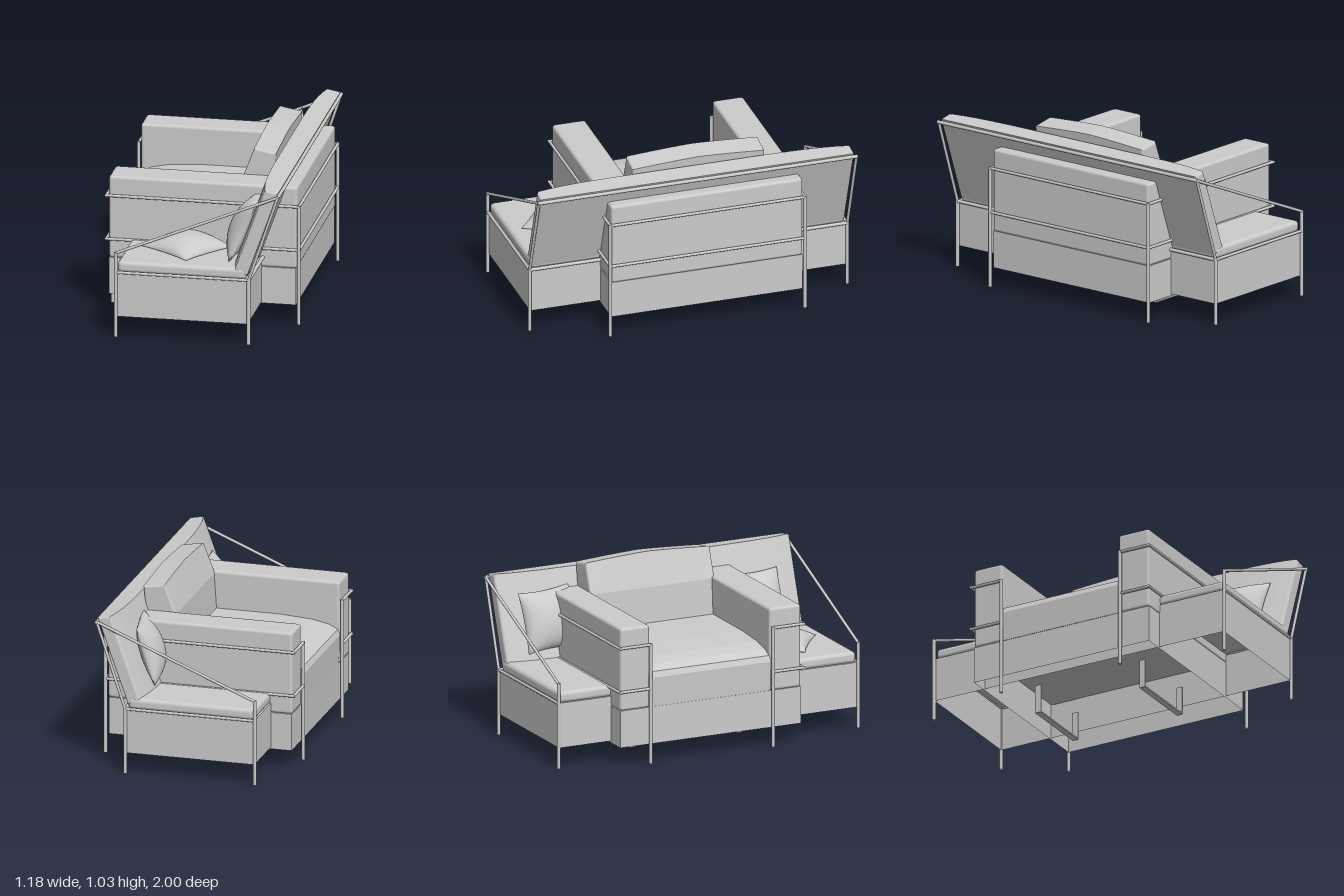
import * as THREE from 'three';
import { RoundedBoxGeometry } from 'three/addons/geometries/RoundedBoxGeometry.js';

const mat = new THREE.MeshStandardMaterial({ color: 0xcccccc });
const shellMat = new THREE.MeshStandardMaterial({ color: 0xcccccc, side: THREE.DoubleSide });
const R = 0.011;

function add(parent, name, geo, material = mat) {
  const mesh = new THREE.Mesh(geo, material);
  mesh.name = name;
  parent.add(mesh);
  return mesh;
}

// Rounded block given by its limits on each axis
function block(parent, name, [x0, x1], [y0, y1], [z0, z1], r = 0.015) {
  const m = add(parent, name, new RoundedBoxGeometry(x1 - x0, y1 - y0, z1 - z0, 2, r));
  m.position.set((x0 + x1) / 2, (y0 + y1) / 2, (z0 + z1) / 2);
  return m;
}

// Thin box without a bottom
function shell(parent, name, [x0, x1], [y0, y1], [z0, z1]) {
  const geo = new THREE.BoxGeometry(x1 - x0, y1 - y0, z1 - z0);
  const index = Array.from(geo.index.array);
  index.splice(18, 6); // the downward face
  geo.setIndex(index);
  geo.clearGroups();
  add(parent, name, geo, shellMat)
    .position.set((x0 + x1) / 2, (y0 + y1) / 2, (z0 + z1) / 2);
}

// Side profile (x, y) swept along z with soft edges
function sweep(points, z0, z1, bevel, steps = 1) {
  const s = new THREE.Shape(points.map(([x, y]) => new THREE.Vector2(x, y)));
  const geo = new THREE.ExtrudeGeometry(s, {
    depth: z1 - z0 - 2 * bevel, steps, bevelThickness: bevel, bevelSize: bevel, bevelSegments: 3,
  });
  return geo.translate(0, 0, z0 + bevel);
}

// Move the vertices of a geometry by a rule
function bend(geo, rule) {
  const p = geo.attributes.position, v = new THREE.Vector3();
  for (let i = 0; i < p.count; i++) {
    rule(v.fromBufferAttribute(p, i));
    p.setXYZ(i, v.x, v.y, v.z);
  }
  geo.computeVertexNormals();
  return geo;
}

// Round metal bar between two points
function rod(parent, name, a, b, r = R) {
  const p = new THREE.Vector3(...a), q = new THREE.Vector3(...b);
  const d = q.clone().sub(p);
  const m = add(parent, name, new THREE.CylinderGeometry(r, r, d.length(), 12));
  m.position.copy(p).add(q).multiplyScalar(0.5);
  m.quaternion.setFromUnitVectors(new THREE.Vector3(0, 1, 0), d.normalize());
  return m;
}

// Soft square pillow in the xz plane: full on top, flatter below
function pillow(parent, name, size, top, bottom) {
  const geo = bend(new THREE.SphereGeometry(1, 40, 28), (p) => {
    // stretch each round section out to a square
    const k = Math.hypot(p.x, p.z) / (Math.max(Math.abs(p.x), Math.abs(p.z)) || 1);
    const u = p.x * k, v = p.z * k, pinch = 0.07;
    const puff = Math.pow(Math.max(0, (1 - u * u) * (1 - v * v)), 0.5);
    p.set(
      u * (1 - pinch * (1 - v * v)) * size / 2,
      puff * (p.y > 0 ? top : -bottom),
      v * (1 - pinch * (1 - u * u)) * size / 2);
  });
  return add(parent, name, geo);
}

function createDaybed() {
  const g = new THREE.Group();
  g.name = 'longSofa';
  shell(g, 'sofaBase', [-0.437, 0.354], [0.125, 0.4], [-0.984, 0.984]);
  block(g, 'sofaSeatCushion', [-0.433, 0.345], [0.395, 0.465], [-0.98, 0.98], 0.025);

  // Leaning backrest, its front swelling between the ends
  const back = sweep(
    [[0.295, 0.455], [0.34, 0.435], [0.52, 0.938], [0.472, 0.948]], -0.975, 0.975, 0.012, 24);
  bend(back, (p) => {
    const front = p.x - 0.315 - (p.y - 0.44) * 0.355;
    if (front < 0) p.x -= 0.05 * Math.max(0, 1 - p.z ** 6);
  });
  add(g, 'sofaBackrest', back);

  // End frames
  const F = -0.44, B = 0.36, T = [0.535, 0.925];
  for (const z of [-0.988, 0.988]) {
    rod(g, 'sofaFrontLeg', [F, 0, z], [F, 0.525, z]);
    rod(g, 'sofaBackLeg', [B, 0, z], [B, 0.405, z]);
    rod(g, 'sofaBackPost', [B, 0.4, z], [...T, z], 0.009);
    rod(g, 'sofaSlopingArm', [F, 0.52, z], [...T, z], 0.009);
    rod(g, 'sofaEndRail', [F, 0.4, z], [B, 0.4, z], 0.009);
  }
  rod(g, 'sofaTopRail', [...T, -0.995], [...T, 0.995]);
  rod(g, 'sofaRearRail', [B, 0.4, -0.988], [B, 0.4, 0.988]);
  return g;
}

function createArmchair() {
  const g = new THREE.Group();
  g.name = 'armchair';
  shell(g, 'chairBase', [-0.565, 0.56], [0.115, 0.342], [-0.643, 0.547]);

  // Seat cushion with a rolled front edge
  add(g, 'chairSeatCushion', sweep(
    [[-0.555, 0.355], [0.4, 0.355], [0.4, 0.605], [-0.2, 0.605], [-0.4, 0.592], [-0.5, 0.572],
      [-0.55, 0.548], [-0.562, 0.52]], -0.46, 0.35, 0.012));
  block(g, 'chairArm', [-0.568, 0.568], [0.34, 0.848], [-0.643, -0.45], 0.018);
  block(g, 'chairArm', [-0.568, 0.568], [0.34, 0.848], [0.34, 0.548], 0.018);
  block(g, 'chairBack', [0.36, 0.568], [0.34, 0.848], [-0.643, 0.548], 0.018);

  // Back cushion with a crowned top
  const cushion = sweep(
    [[0.2, 0.6], [0.37, 0.6], [0.378, 0.85], [0.392, 1.0], [0.28, 1.02], [0.215, 0.83]],
    -0.46, 0.36, 0.012, 16);
  bend(cushion, (p) => {
    if (p.y > 0.95) p.y -= 0.022 * Math.abs((p.z + 0.05) / 0.41) ** 1.3;
  });
  add(g, 'chairBackCushion', cushion);

  // Tubular frame: rails run round the sides and in front of the arms to the front legs
  const X = 0.58, rear = [-0.653, 0.558];
  for (const [zo, zi] of [[rear[0], -0.45], [rear[1], 0.358]]) {
    rod(g, 'chairRearLeg', [X, 0, zo], [X, 0.737, zo]);
    rod(g, 'chairFrontLeg', [-X, 0, zi], [-X, 0.737, zi]);
    for (const y of [0.46, 0.73]) {
      rod(g, 'chairSideRail', [-X - 0.008, y, zo], [X + 0.008, y, zo], 0.009);
      rod(g, 'chairFrontReturn', [-X, y, zo], [-X, y, zi], 0.009);
    }
  }
  for (const y of [0.46, 0.73]) rod(g, 'chairRearRail', [X, y, rear[0]], [X, y, rear[1]], 0.009);

  // Flat-bar runners underneath
  for (const z of [-0.4, 0.31]) {
    block(g, 'runner', [-0.23, 0.22], [0, 0.01], [z - 0.02, z + 0.02], 0.002);
    for (const x of [-0.23, 0.212])
      block(g, 'runnerPost', [x, x + 0.008], [0, 0.18], [z - 0.02, z + 0.02], 0.002);
  }
  return g;
}

export function createModel() {
  const model = new THREE.Group();
  model.name = 'sofaAndArmchair';
  model.add(createDaybed(), createArmchair());

  // Scatter pillows: one lying, two leaning on the backrest
  const lying = pillow(model, 'lyingPillow', 0.38, 0.085, 0.01);
  lying.position.set(-0.075, 0.473, 0.645);
  lying.rotation.y = -0.63;
  for (const [x, y, z, turn, lean] of [[0.28, 0.63, 0.665, 0.05, 0.42], [0.3, 0.69, -0.69, 0.18, 0.3]]) {
    const m = pillow(model, 'leaningPillow', 0.37, 0.09, 0.05);
    m.rotation.set(0, turn, Math.PI / 2 - lean);
    m.position.set(x, y, z);
  }
  return model;
}
